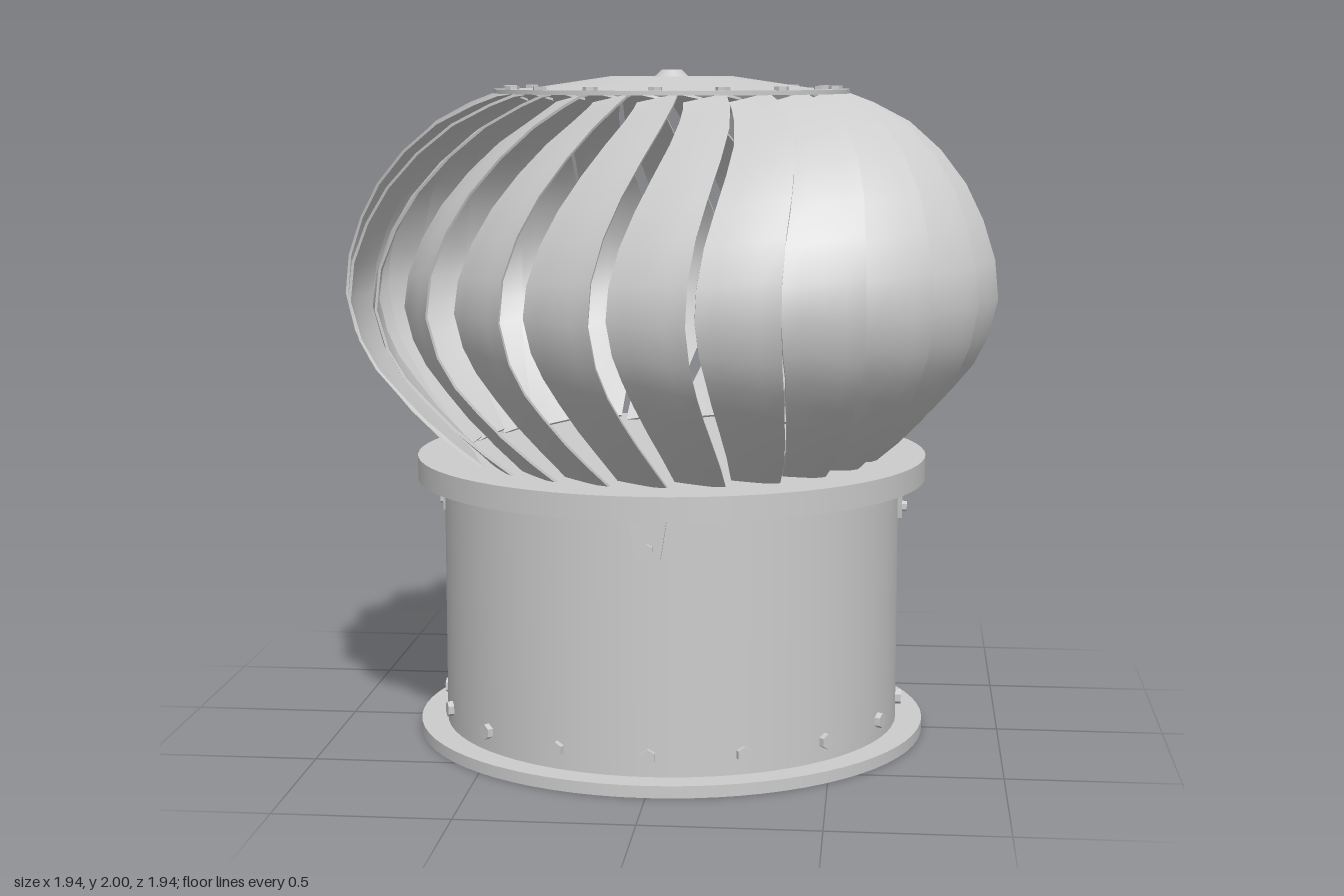
import * as THREE from 'three';

const material = new THREE.MeshStandardMaterial({ color: 0xcccccc });
const flatMaterial = new THREE.MeshStandardMaterial({ color: 0xcccccc, flatShading: true });
const rad = THREE.MathUtils.degToRad;

function add(parent, name, geometry, mat = material) {
  const mesh = new THREE.Mesh(geometry, mat);
  mesh.name = name;
  parent.add(mesh);
  return mesh;
}

function disc(parent, name, radius, y0, y1) {
  const mesh = add(parent, name, new THREE.CylinderGeometry(radius, radius, y1 - y0, 72));
  mesh.position.y = (y0 + y1) / 2;
  return mesh;
}

// Vertical outline of the blade cage, bottom to top, as (radius, height)
const outline = new THREE.SplineCurve([
  [0.63, 0.845], [0.755, 0.955], [0.86, 1.075], [0.94, 1.19], [0.982, 1.36],
  [0.94, 1.54], [0.855, 1.7], [0.72, 1.84], [0.565, 1.92], [0.5, 1.935],
].map(([r, y]) => new THREE.Vector2(r, y)));

// Thin curved vane: the leading edge bulges out, the trailing edge tucks under its neighbour
function bladeGeometry() {
  const geometry = new THREE.BoxGeometry(1, 1, 1, 4, 14, 1);
  const pos = geometry.attributes.position;
  for (let i = 0; i < pos.count; i++) {
    const across = 0.5 - pos.getX(i); // 0 leading, 1 trailing
    const along = pos.getY(i) + 0.5;
    const p = outline.getPoint(along);
    const t = outline.getTangent(along);
    const depth = across * (0.025 + 0.055 * Math.sin(Math.PI * along)) + (0.5 - pos.getZ(i)) * 0.008;
    const r = p.x - t.y * depth;
    const y = p.y + t.x * depth;
    const sweep = 45 * (p.y - 1.36) ** 2; // edges swirl towards both ends
    const angle = rad(7.5 + sweep - 13.2 * across);
    pos.setXYZ(i, r * Math.sin(angle), y, r * Math.cos(angle));
  }
  geometry.computeVertexNormals();
  return geometry;
}

export function createModel() {
  const model = new THREE.Group();
  model.name = 'roofTurbineVent';

  // Base drum with its two flanges
  disc(model, 'bottomFlange', 0.77, 0, 0.035);
  disc(model, 'drum', 0.69, 0.03, 0.79);
  disc(model, 'topFlange', 0.77, 0.78, 0.85);

  // Hexagonal bolts around the foot of the drum
  const boltGeometry = new THREE.CylinderGeometry(0.023, 0.023, 0.025, 6);
  for (let i = 0; i < 16; i++) {
    const pivot = new THREE.Group();
    pivot.name = 'drumBolt';
    pivot.rotation.y = (i * Math.PI) / 8;
    const bolt = add(pivot, 'boltHead', boltGeometry, flatMaterial);
    bolt.rotation.x = Math.PI / 2;
    bolt.position.set(0, 0.095, 0.694);
    model.add(pivot);
  }

  // Four tapered brackets under the top flange
  const tab = new THREE.Shape([
    new THREE.Vector2(-0.055, 0.785), new THREE.Vector2(-0.036, 0.66),
    new THREE.Vector2(0.036, 0.66), new THREE.Vector2(0.055, 0.785),
  ]);
  const tabGeometry = new THREE.ExtrudeGeometry(tab, { depth: 0.018, bevelEnabled: false });
  const tabBolt = new THREE.CylinderGeometry(0.016, 0.016, 0.02, 6);
  for (let i = 0; i < 4; i++) {
    const bracket = new THREE.Group();
    bracket.name = 'bracket';
    bracket.rotation.y = (i * Math.PI) / 2;
    add(bracket, 'bracketPlate', tabGeometry).position.z = 0.684;
    const bolt = add(bracket, 'bracketBolt', tabBolt, flatMaterial);
    bolt.rotation.x = Math.PI / 2;
    bolt.position.set(0, 0.69, 0.706);
    model.add(bracket);
  }

  // Rotor cage of swirling blades
  const rotor = new THREE.Group();
  rotor.name = 'rotor';
  model.add(rotor);
  const blade = bladeGeometry();
  for (let i = 0; i < 24; i++) add(rotor, 'blade', blade).rotation.y = rad(i * 15);

  // Cap: rim plate, shallow cone and centre knob
  disc(rotor, 'capRim', 0.53, 1.93, 1.943);
  const cone = add(rotor, 'capCone', new THREE.CylinderGeometry(0.185, 0.44, 0.038, 72));
  cone.position.y = 1.961;
  const knob = add(rotor, 'capKnob', new THREE.CylinderGeometry(0.03, 0.053, 0.022, 24));
  knob.position.y = 1.989;

  // Bolts around the cap rim
  const capBolt = new THREE.CylinderGeometry(0.021, 0.021, 0.016, 6);
  for (let i = 0; i < 16; i++) {
    const a = (i * Math.PI) / 8;
    const bolt = add(rotor, 'capBolt', capBolt, flatMaterial);
    bolt.position.set(0.487 * Math.sin(a), 1.945, 0.487 * Math.cos(a));
    bolt.rotation.y = a;
  }

  return model;
}
